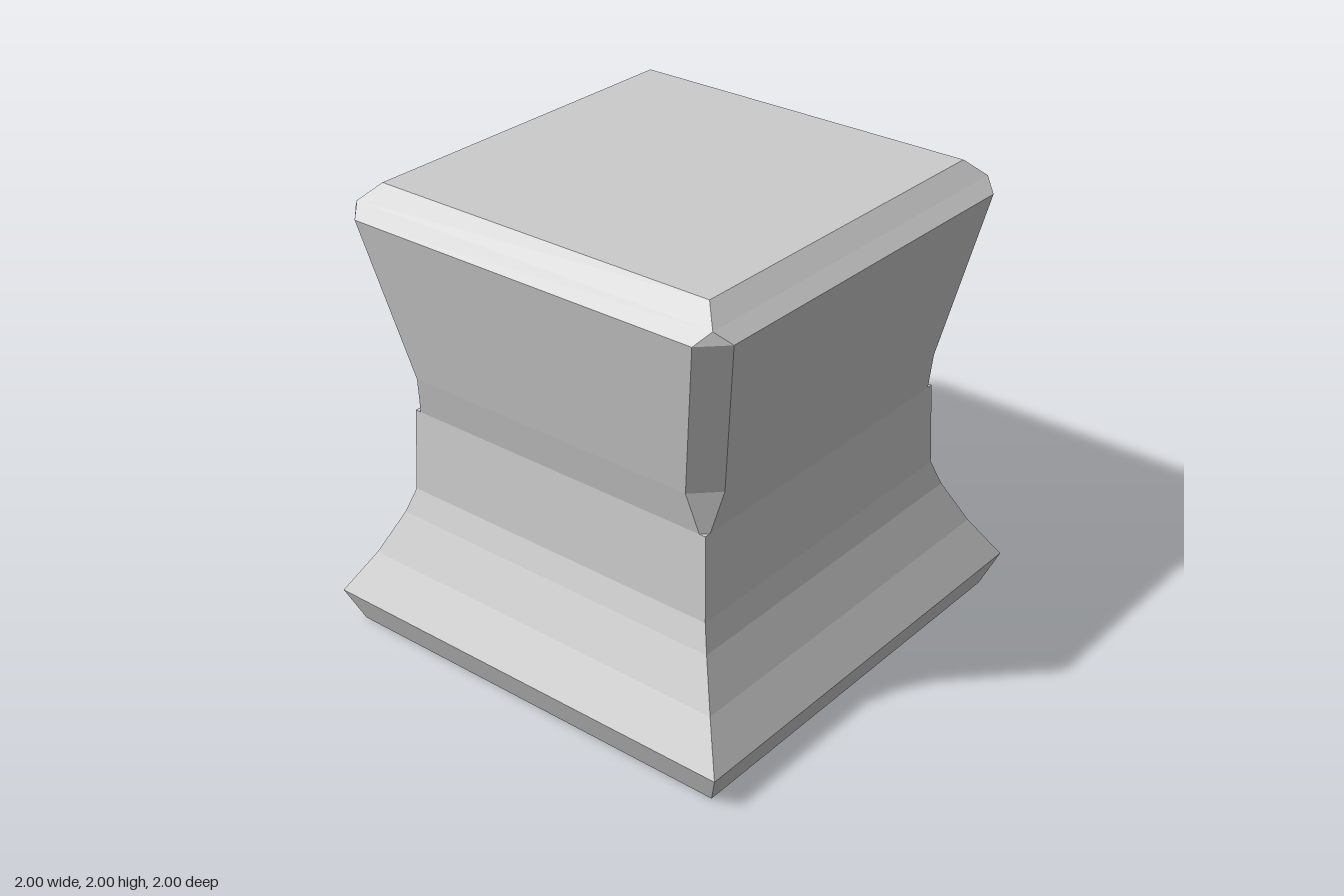
import * as THREE from 'three';

const material = new THREE.MeshStandardMaterial({ color: 0xcccccc, flatShading: true });

// Square section with cut corners: w = half width, e = half length of each flat side
function section([y, w, e = w]) {
  return [[e, w], [w, e], [w, -e], [e, -w], [-e, -w], [-w, -e], [-w, e], [-e, w]]
    .map(([x, z]) => new THREE.Vector3(x, y, z));
}

// Skin a stack of sections from bottom to top, with optional end caps
function loft(name, rows, { bottom = false, top = false } = {}) {
  const rings = rows.map(section);
  const points = [];
  const tri = (a, b, c) => {
    if (new THREE.Triangle(a, b, c).getArea() > 1e-6) points.push(a, b, c);
  };
  for (let i = 0; i < rings.length - 1; i++) {
    const lo = rings[i], hi = rings[i + 1];
    for (let k = 0; k < 8; k++) {
      const n = (k + 1) % 8;
      tri(lo[k], lo[n], hi[n]);
      tri(lo[k], hi[n], hi[k]);
    }
  }
  const first = rings[0], last = rings[rings.length - 1];
  for (let k = 1; k < 7; k++) {
    if (bottom) tri(first[0], first[k + 1], first[k]);
    if (top) tri(last[0], last[k], last[k + 1]);
  }
  const geometry = new THREE.BufferGeometry().setFromPoints(points);
  geometry.computeVertexNormals();
  const mesh = new THREE.Mesh(geometry, material);
  mesh.name = name;
  return mesh;
}

export function createModel() {
  const group = new THREE.Group();
  group.name = 'pedestal';
  group.add(
    // Undercut plinth and concave flare
    loft('base', [[0, 0.94], [0.147, 1], [0.33, 0.89], [0.52, 0.8], [0.63, 0.763]], { bottom: true }),
    // Nearly straight neck
    loft('waist', [[0.63, 0.763], [1, 0.75]]),
    // Widening block with chamfered corners, small ledges below and a bevelled top
    loft('head', [
      [1, 0.75], [1, 0.75, 0.722], [1.18, 0.79, 0.688],
      [1.88, 0.928, 0.826], [1.93, 0.87], [2, 0.798],
    ], { top: true }),
  );
  return group;
}
